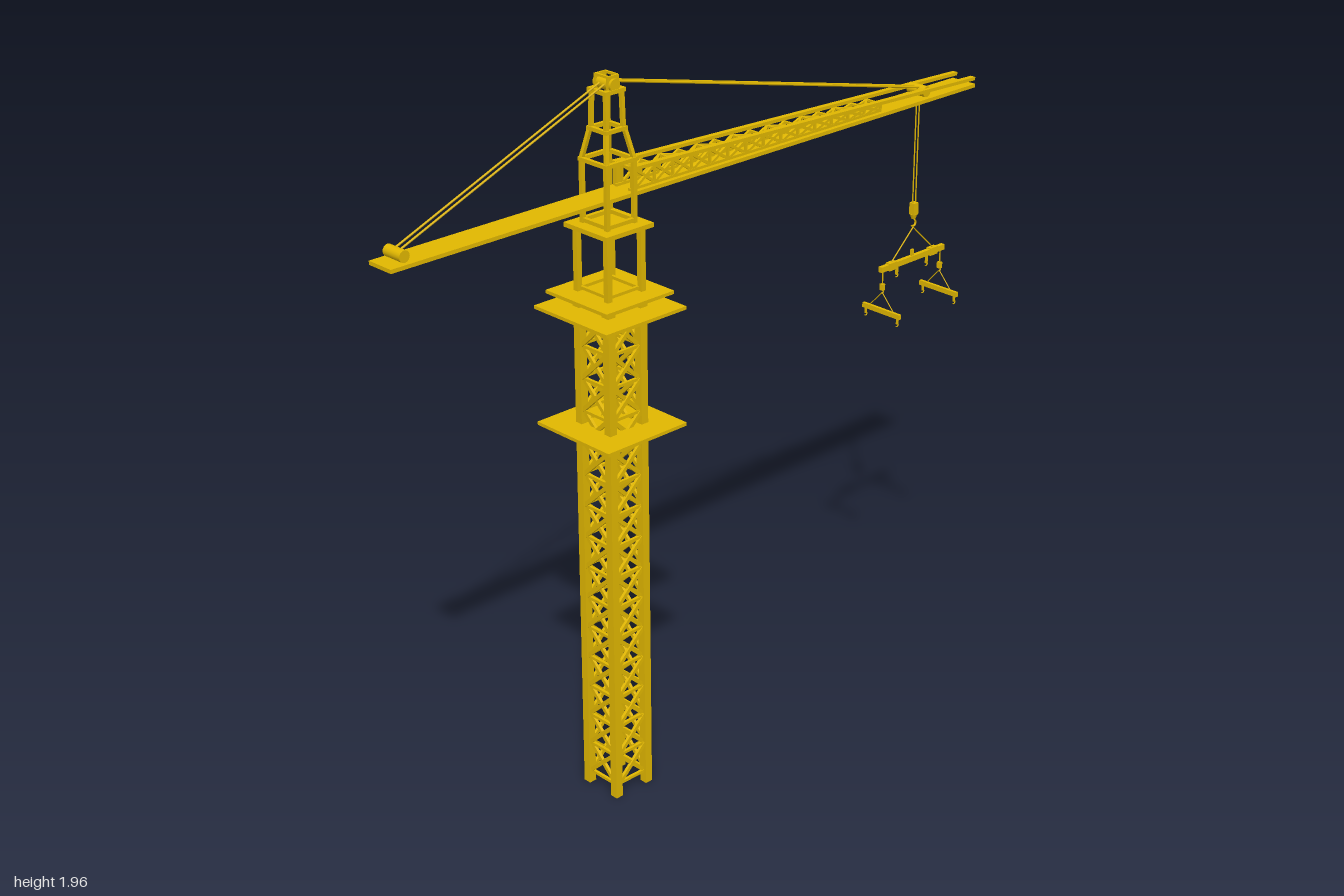
import * as THREE from 'three';

const mat = new THREE.MeshStandardMaterial({ color: 0xe2b800 });
const TZ = 0.316; // tower axis
const HZ = -0.81; // hoist axis

function add(parent, geo, name, x = 0, y = 0, z = 0) {
  const m = new THREE.Mesh(geo, mat);
  m.name = name;
  m.position.set(x, y, z);
  parent.add(m);
  return m;
}
const box = (p, name, w, h, d, x, y, z) => add(p, new THREE.BoxGeometry(w, h, d), name, x, y, z);

// Square bar (or round cable) stretched between two points of its parent's space
function bar(p, name, a, b, w, d = w, round = false) {
  const A = new THREE.Vector3(...a), B = new THREE.Vector3(...b);
  const len = A.distanceTo(B);
  const geo = round ? new THREE.CylinderGeometry(w / 2, w / 2, len, 6).rotateX(Math.PI / 2) : new THREE.BoxGeometry(w, d, len);
  const steep = Math.abs(B.y - A.y) > 0.9 * len;
  const up = steep ? new THREE.Vector3(0, 0, 1) : new THREE.Vector3(0, 1, 0);
  const m = add(p, geo, name);
  m.position.copy(A).add(B).multiplyScalar(0.5);
  m.quaternion.setFromRotationMatrix(new THREE.Matrix4().lookAt(B, A, up));
}
const cable = (p, name, a, b, w = 0.004) => bar(p, name, a, b, w, w, true);

function group(parent, name, x = 0, y = 0, z = 0) {
  const g = new THREE.Group();
  g.name = name;
  g.position.set(x, y, z);
  parent.add(g);
  return g;
}

// Pulley with its axle along x
function pulley(p, name, r, w, y, z) {
  add(p, new THREE.CylinderGeometry(r, r, w, 16).rotateZ(Math.PI / 2), name, 0, y, z);
}

// Four corner posts from half-width r0 at y0 to r1 at y1
function posts(p, name, r0, y0, r1, y1, w) {
  for (const sx of [-1, 1]) for (const sz of [-1, 1])
    bar(p, name, [sx * r0, y0, sz * r0], [sx * r1, y1, sz * r1], w);
}

// Square ring of bars
function ring(p, name, r, y, w) {
  for (const s of [-1, 1]) {
    box(p, name, 2 * r + w, w, w, 0, y, s * r);
    box(p, name, w, w, 2 * r - w, s * r, y, 0);
  }
}

function hook(p, x, y, z, s) {
  const geo = new THREE.TorusGeometry(s, s * 0.35, 6, 12, Math.PI * 1.4).rotateZ(-Math.PI * 0.9).rotateY(Math.PI / 2);
  add(p, geo, 'hook', x, y, z);
}

function buildTower(root) {
  const t = group(root, 'tower', 0, 0, TZ);
  posts(t, 'towerLeg', 0.053, 0, 0.053, 1.37, 0.022);
  // Cross-braced panels on all four sides
  const n = 15, y0 = 0.035, step = (1.36 - y0) / n, r = 0.047;
  for (let side = 0; side < 4; side++) {
    const f = group(t, 'towerBracing');
    f.rotation.y = side * Math.PI / 2;
    for (let i = 0; i <= n; i++) {
      const y = y0 + i * step;
      box(f, 'horizontalBrace', 0.09, 0.008, 0.008, 0, y, 0.053);
      if (i === n) break;
      bar(f, 'diagonalBrace', [-r, y, 0.055], [r, y + step, 0.055], 0.008, 0.011);
      bar(f, 'diagonalBrace', [r, y, 0.051], [-r, y + step, 0.051], 0.008, 0.011);
    }
  }
  // Platforms and slewing section
  box(t, 'lowerPlatform', 0.264, 0.009, 0.264, 0, 1.056, 0);
  box(t, 'upperPlatform', 0.264, 0.009, 0.264, 0, 1.37, 0);
  box(t, 'slewingCore', 0.1, 0.034, 0.1, 0, 1.39, 0);
  posts(t, 'slewingPost', 0.053, 1.37, 0.053, 1.41, 0.024);
  box(t, 'slewingPlatform', 0.222, 0.009, 0.222, 0, 1.411, 0);
  posts(t, 'climbingPost', 0.055, 1.41, 0.055, 1.58, 0.015);
  ring(t, 'climbingRail', 0.05, 1.424, 0.008);
  box(t, 'turntable', 0.154, 0.012, 0.154, 0, 1.586, 0);

  // Tower head
  posts(t, 'headPost', 0.044, 1.59, 0.044, 1.75, 0.011);
  ring(t, 'headRing', 0.044, 1.6, 0.01);
  ring(t, 'headRing', 0.046, 1.753, 0.01);
  posts(t, 'headTaper', 0.044, 1.755, 0.029, 1.83, 0.01);
  ring(t, 'headRing', 0.03, 1.83, 0.01);
  posts(t, 'peakPost', 0.027, 1.83, 0.025, 1.925, 0.01);
  ring(t, 'peakRing', 0.028, 1.925, 0.01);
  for (const s of [-1, 1]) {
    box(t, 'peakBracket', 0.005, 0.036, 0.036, s * 0.022, 1.945, 0);
    box(t, 'peakCapBar', 0.044, 0.006, 0.006, 0, 1.961, s * 0.015);
  }
  pulley(t, 'peakPulley', 0.016, 0.062, 1.94, 0);
}

function buildJib(root) {
  const j = group(root, 'jib');
  box(j, 'jibDeck', 0.08, 0.01, 2, 0, 1.661, 0);
  const topY = z => 1.682 + (z + 1) * 0.0335;
  for (const s of [-1, 1]) {
    bar(j, 'topChord', [s * 0.032, topY(0.27), 0.27], [s * 0.032, topY(-1) - 0.001, -0.999], 0.016, 0.009);
    bar(j, 'bottomChord', [s * 0.024, 1.669, 0.27], [s * 0.024, 1.669, -0.63], 0.008);
    box(j, 'jibRootPost', 0.012, 0.06, 0.014, s * 0.03, 1.692, 0.26);
  }
  // Lattice, shrinking under the sloping top chord
  const n = 14, d = 0.88 / n;
  for (let i = 0; i <= n; i++) {
    const z = 0.25 - i * d, z2 = z - d, y = topY(z) - 0.008, y2 = topY(z2) - 0.008;
    box(j, 'latticeCross', 0.05, 0.006, 0.006, 0, y, z);
    for (const s of [-1, 1]) {
      const x = s * 0.024;
      bar(j, 'latticeUpright', [x, 1.666, z], [x, y, z], 0.006);
      if (i === n) continue;
      bar(j, 'latticeDiagonal', [x, 1.67, z], [x, y2, z2], 0.007);
      bar(j, 'latticeDiagonal', [x, y, z], [x, 1.67, z2], 0.007);
    }
    if (i < n) {
      const s = i % 2 ? 1 : -1;
      bar(j, 'topDiagonal', [s * 0.024, y, z], [-s * 0.024, y2, z2], 0.006);
    }
  }
  // End pulleys and stay cables
  for (const [z, name] of [[0.953, 'rearPulley'], [HZ, 'frontPulley']]) {
    pulley(j, name, 0.015, 0.06, 1.682, z);
    for (const s of [-1, 1])
      cable(j, 'stayCable', [s * 0.009, 1.947, TZ], [s * 0.009, 1.69, z], 0.006);
  }
}

function buildHoist(root) {
  const h = group(root, 'hoist', 0, 0, HZ);
  for (const s of [-1, 1]) cable(h, 'hoistCable', [0, 1.68, s * 0.006], [0, 1.35, s * 0.006]);
  box(h, 'hookBlock', 0.018, 0.034, 0.018, 0, 1.343, 0);
  add(h, new THREE.CylinderGeometry(0.011, 0.006, 0.014, 10), 'hookSwivel', 0, 1.32, 0);
  hook(h, 0, 1.3, 0, 0.009);

  // Main spreader beam
  box(h, 'spreaderBeam', 0.012, 0.016, 0.262, 0, 1.197, 0);
  box(h, 'beamLug', 0.006, 0.026, 0.01, 0, 1.21, 0);
  for (const s of [-1, 1]) {
    cable(h, 'sling', [0, 1.288, 0], [0, 1.203, s * 0.09]);
    box(h, 'beamCollar', 0.016, 0.022, 0.03, 0, 1.197, s * 0.085);
    box(h, 'beamPendant', 0.006, 0.026, 0.006, 0, 1.178, s * 0.062);
    hook(h, 0, 1.163, s * 0.062, 0.005);

    // Cross beam hung from each end
    const c = group(h, 'crossSpreader', 0, 0, s * 0.12);
    cable(c, 'pendant', [0, 1.195, 0], [0, 1.15, 0]);
    box(c, 'pendantBlock', 0.012, 0.018, 0.01, 0, 1.144, 0);
    hook(c, 0, 1.13, 0, 0.005);
    box(c, 'crossBeam', 0.136, 0.014, 0.009, 0, 1.073, 0);
    for (const t of [-1, 1]) {
      cable(c, 'sling', [0, 1.128, 0], [t * 0.045, 1.078, 0], 0.003);
      box(c, 'crossPendant', 0.005, 0.02, 0.005, t * 0.058, 1.06, 0);
      hook(c, t * 0.058, 1.048, 0, 0.005);
    }
  }
}

export function createModel() {
  const root = new THREE.Group();
  root.name = 'towerCrane';
  buildTower(root);
  buildJib(root);
  buildHoist(root);
  return root;
}
